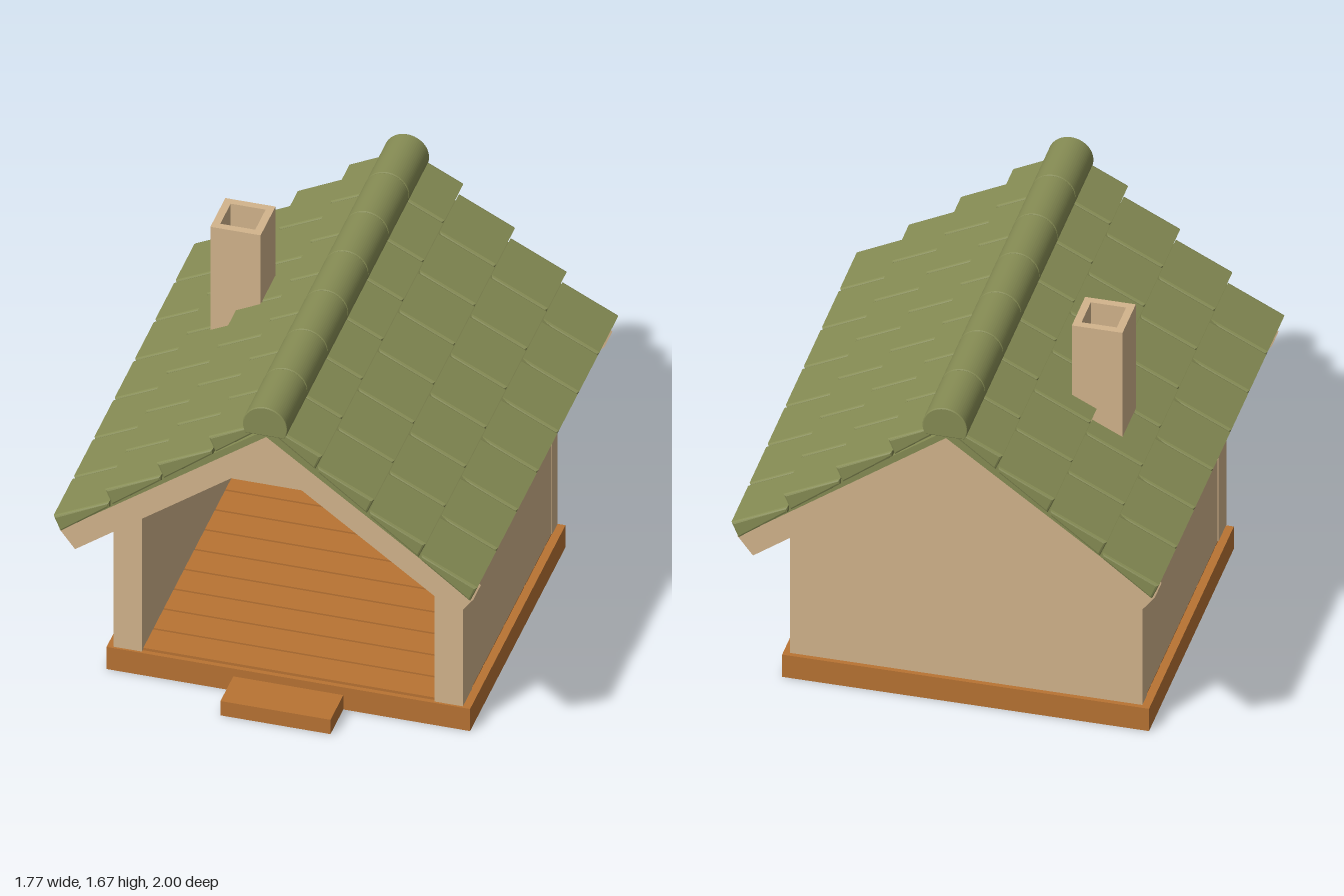
import * as THREE from 'three';

export function createModel() {
  const model = new THREE.Group();
  const mat = (name, color) => Object.assign(new THREE.MeshStandardMaterial({ color }), { name });
  const tan = mat('tan plaster', 0xd2b48c);
  const wood = mat('orange wood', 0xb87333);
  const green = mat('green tile', 0x868c54);

  const add = (name, geo, material, parent = model) => {
    const mesh = new THREE.Mesh(geo, material);
    mesh.name = name;
    parent.add(mesh);
    return mesh;
  };
  // Box given by its lower and upper limits
  const box = (name, material, x0, x1, y0, y1, z0, z1) =>
    add(name, new THREE.BoxGeometry(x1 - x0, y1 - y0, z1 - z0)
      .translate((x0 + x1) / 2, (y0 + y1) / 2, (z0 + z1) / 2), material);
  const poly = (pts) => new THREE.Shape(pts.map(([x, y]) => new THREE.Vector2(x, y)));
  // Front profile extruded from z0 to z1, with an optional inset bevel
  const prism = (shape, z0, z1, bevel = 0) =>
    new THREE.ExtrudeGeometry(shape, {
      depth: z1 - z0 - 2 * bevel, curveSegments: 24,
      bevelEnabled: bevel > 0, bevelSize: bevel, bevelThickness: bevel,
      bevelOffset: -bevel, bevelSegments: 2,
    }).translate(0, 0, z0 + bevel);

  // Underside of the roof at a distance x from the ridge
  const roofY = (x) => 1.495 - 0.727 * x;

  // Base, step and floor planks
  box('base', wood, -0.76, 0.76, 0, 0.108, -0.67, 0.67);
  box('step', wood, -0.23, 0.23, 0, 0.07, 0.67, 0.85);
  const planks = 9, pitch = 1.3 / planks;
  for (let i = 0; i < planks; i++) {
    const z = -0.645 + i * pitch;
    box('floorPlank', wood, -0.725, 0.725, 0.105, 0.12, z + 0.005, z + pitch - 0.005);
  }

  // Side walls and front posts, cut to the roof slope
  for (const s of [1, -1]) {
    const profile = (x0, x1) => poly(s > 0
      ? [[x0, 0.115], [x1, 0.115], [x1, roofY(x1)], [x0, roofY(x0)]]
      : [[-x1, 0.115], [-x0, 0.115], [-x0, roofY(x0)], [-x1, roofY(x1)]]);
    add('sideWall', prism(profile(0.612, 0.726), -0.63, 0.545), tan);
    add('frontPost', prism(profile(0.612, 0.73), 0.545, 0.67), tan);
  }

  // Back wall with gable
  add('backWall', prism(poly([
    [-0.73, 0.115], [0.73, 0.115], [0.73, roofY(0.73)], [0, roofY(0)], [-0.73, roofY(0.73)],
  ]), -0.66, -0.585), tan);

  // Roof boarding and the gable boards at both ends
  add('roofDeck', prism(poly([
    [0, roofY(0)], [0.84, roofY(0.84)], [0.85, roofY(0.84) + 0.03], [0, 1.53],
    [-0.85, roofY(0.84) + 0.03], [-0.84, roofY(0.84)],
  ]), -0.98, 0.98), green);
  const board = poly([
    [0, 1.37], [0.8, 0.785], [0.865, 0.87], [0, 1.5], [-0.865, 0.87], [-0.8, 0.785],
  ]);
  add('frontGableBoard', prism(board, 0.87, 0.978), tan);
  add('backGableBoard', prism(board, -0.978, -0.87), tan);

  // Overlapping wedge tiles, four rows of seven on each slope
  const columns = 7, width = 2 / columns;
  const tileGeo = prism(poly([
    [-0.03, -0.07], [0, 0], [-0.235, 0.117], [-0.235, 0.089],
  ]), -width / 2 + 0.002, width / 2 - 0.002, 0.01);
  for (const angle of [0, Math.PI]) {
    const slope = new THREE.Group();
    slope.name = angle ? 'rightRoofTiles' : 'leftRoofTiles';
    slope.rotation.y = angle;
    model.add(slope);
    for (let row = 0; row < 4; row++) {
      for (let c = 0; c < columns; c++) {
        add('roofTile', tileGeo, green, slope)
          .position.set(0.886 - 0.216 * row, 0.942 + 0.172 * row, -1 + width * (c + 0.5));
      }
    }
  }

  // Rounded ridge tiles
  const cap = new THREE.Shape();
  cap.moveTo(0, 1.557);
  cap.absarc(0, 1.557, 0.093, -0.5, Math.PI + 0.5, false);
  cap.closePath();
  for (let c = 0; c < columns; c++) {
    add('ridgeTile', prism(cap, -1 + c * width + 0.001, -1 + (c + 1) * width - 0.001, 0.004), green);
  }

  // Hollow square chimney
  const square = (r) => [[-r, -r], [r, -r], [r, r], [-r, r]];
  const flue = poly(square(0.105));
  flue.holes.push(poly(square(0.073).reverse()));
  const chimney = add('chimney', prism(flue, 0, 0.55).rotateX(-Math.PI / 2), tan);
  chimney.position.set(-0.456, 1.123, -0.225);

  return model;
}
